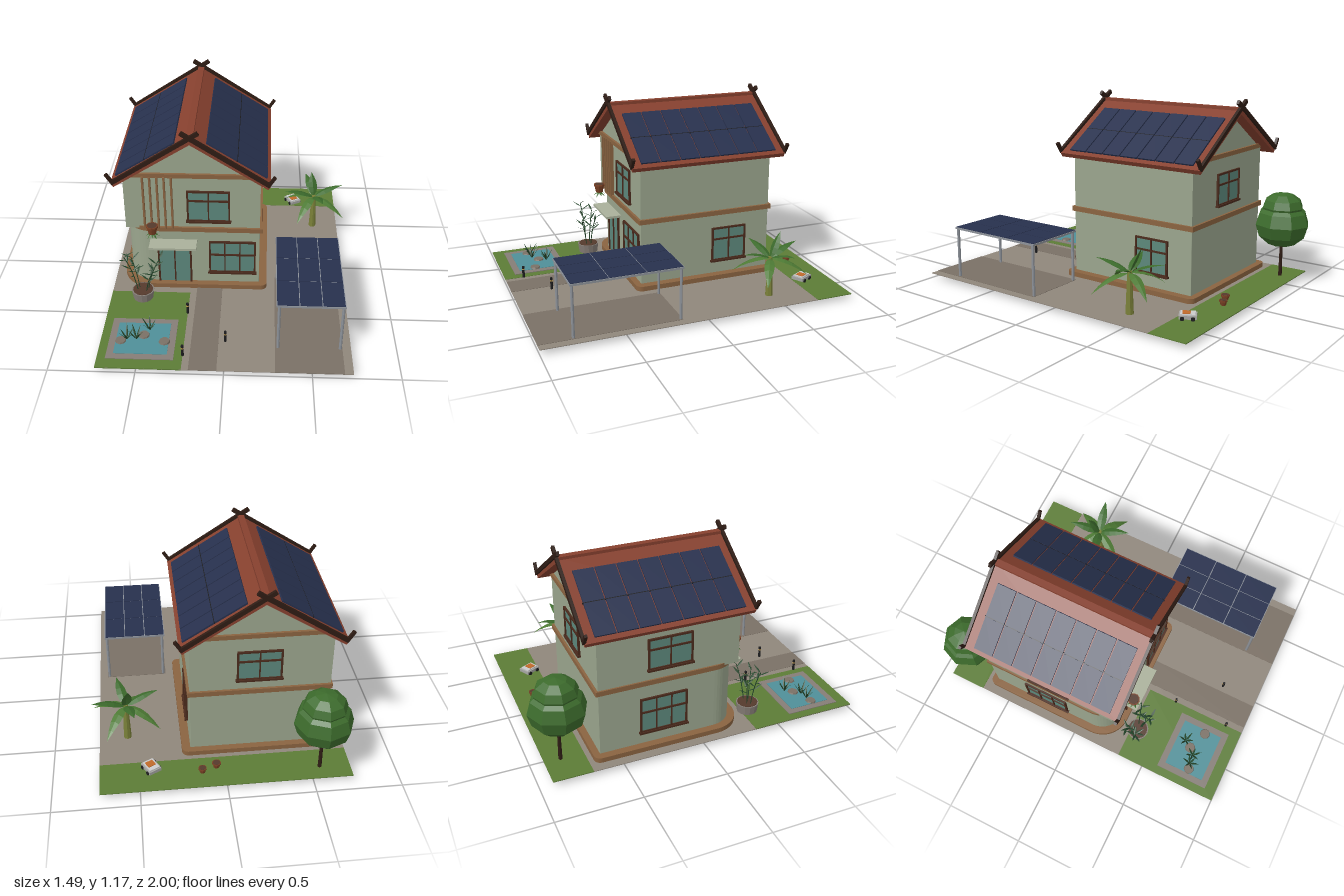
import * as THREE from 'three';

const C = {
  wall: 0x9aa58d, trim: 0x8a6340, dark: 0x2e1c14, frame: 0x4a2a1c, glass: 0x5c877b, roof: 0x86402e,
  panel: 0x27304d, metal: 0x8d9299, grass: 0x5c7c36, pave: 0x8f867b, drive: 0x7a7065, water: 0x4f8f98,
  stone: 0x857d76, soil: 0x553a2c, clay: 0x7a4024, leaf: 0x3c6b2c, leafDark: 0x24452a, stem: 0x7a8038, black: 0x1c1c1e,
};
const mats = {};
function mat(color) {
  return (mats[color] ??= new THREE.MeshStandardMaterial({ color, flatShading: true, side: THREE.DoubleSide }));
}
function add(parent, name, geo, color, x = 0, y = 0, z = 0) {
  const m = new THREE.Mesh(geo, mat(color));
  m.name = name;
  m.position.set(x, y, z);
  parent.add(m);
  return m;
}
function group(parent, name, x = 0, y = 0, z = 0) {
  const g = new THREE.Group();
  g.name = name;
  g.position.set(x, y, z);
  parent.add(g);
  return g;
}
// Box given by its limits on each axis
function box(parent, name, color, x0, x1, y0, y1, z0, z1) {
  return add(parent, name, new THREE.BoxGeometry(x1 - x0, y1 - y0, z1 - z0), color, (x0 + x1) / 2, (y0 + y1) / 2, (z0 + z1) / 2);
}
const cyl = (rt, rb, h, n = 10) => new THREE.CylinderGeometry(rt, rb, h, n);

// Square beam between two points of the xy plane
function beam(parent, name, color, ax, ay, bx, by, z, t, d) {
  const m = add(parent, name, new THREE.BoxGeometry(Math.hypot(bx - ax, by - ay), t, d), color, (ax + bx) / 2, (ay + by) / 2, z);
  m.rotation.z = Math.atan2(by - ay, bx - ax);
}

// Floor slab whose front corner at -x is strongly rounded
function slab(parent, name, color, x0, x1, y0, y1, z0, z1, r, q) {
  const s = new THREE.Shape();
  s.moveTo(x0 + r, -z1);
  s.lineTo(x1 - q, -z1);
  s.absarc(x1 - q, -z1 + q, q, -Math.PI / 2, 0);
  s.lineTo(x1, -z0 - q);
  s.absarc(x1 - q, -z0 - q, q, 0, Math.PI / 2);
  s.lineTo(x0 + q, -z0);
  s.absarc(x0 + q, -z0 - q, q, Math.PI / 2, Math.PI);
  s.lineTo(x0, -z1 + r);
  s.absarc(x0 + r, -z1 + r, r, Math.PI, Math.PI * 1.5);
  const g = new THREE.ExtrudeGeometry(s, { depth: y1 - y0, bevelEnabled: false, curveSegments: 6 });
  add(parent, name, g.rotateX(-Math.PI / 2), color, 0, y0, 0);
}

// Folded, drooping leaf running along +z
function leaf(parent, color, len, width, droop, azimuth, lift, x = 0, y = 0, z = 0) {
  const n = 5, pos = [], idx = [];
  for (let i = 0; i <= n; i++) {
    const t = i / n, w = width * Math.sin(Math.PI * t ** 0.8), py = -droop * t * t;
    pos.push(-w, py - w * 0.3, len * t, 0, py, len * t, w, py - w * 0.3, len * t);
    if (i < n) for (const k of [0, 1]) {
      const a = i * 3 + k;
      idx.push(a, a + 3, a + 1, a + 1, a + 3, a + 4);
    }
  }
  const g = new THREE.BufferGeometry();
  g.setAttribute('position', new THREE.Float32BufferAttribute(pos, 3));
  g.setIndex(idx);
  g.computeVertexNormals();
  add(parent, 'leaf', g, color, x, y, z).rotation.set(-lift, azimuth, 0, 'YXZ');
}

// Glazed opening with frame, mullions and an optional rail and sill
function glazing(parent, name, x, y, z, turn, w, h, cols, rail) {
  const g = group(parent, name, x, y, z), t = 0.011;
  g.rotation.y = turn;
  box(g, 'glass', C.glass, -w / 2, w / 2, 0, h, -0.01, 0.005);
  for (let i = 0; i <= cols; i++) {
    const px = -w / 2 + (w * i) / cols, k = i % cols ? t * 0.35 : t * 0.5;
    box(g, 'mullion', C.frame, px - k, px + k, 0, h, -0.01, 0.013);
  }
  for (const py of rail ? [0, h * rail, h] : [h])
    box(g, 'rail', C.frame, -w / 2 - t / 2, w / 2 + t / 2, py - t / 2, py + t / 2, -0.01, 0.012);
  if (rail) box(g, 'sill', C.frame, -w / 2 - 0.012, w / 2 + 0.012, -0.012, 0, -0.01, 0.02);
}

function buildGround(m) {
  const g = group(m, 'ground');
  box(g, 'paving', C.pave, -0.73, 0.73, 0.028, 0.032, -0.69, 1);
  box(g, 'backLawn', C.grass, -0.73, 0.73, 0.028, 0.033, -0.925, -0.69);
  box(g, 'frontLawn', C.grass, -0.73, -0.24, 0.027, 0.034, 0.33, 1);
  box(g, 'path', C.drive, -0.2, -0.04, 0.029, 0.034, 0.28, 1);
  box(g, 'driveway', C.drive, 0.29, 0.68, 0.029, 0.034, 0.16, 1);
  // Pond with stones and reeds
  const p = group(m, 'pond');
  box(p, 'pondRim', C.stone, -0.68, -0.29, 0.03, 0.038, 0.59, 0.93);
  box(p, 'water', C.water, -0.64, -0.33, 0.026, 0.04, 0.63, 0.89);
  for (const [x, z, r] of [[-0.61, 0.785, 0.035], [-0.355, 0.785, 0.035], [-0.48, 0.735, 0.036]])
    add(p, 'pondStone', cyl(r * 0.85, r, 0.012, 9), C.drive, x, 0.042, z);
  for (const [x, z] of [[-0.575, 0.775], [-0.52, 0.77], [-0.45, 0.69]])
    for (let i = 0; i < 6; i++) leaf(p, C.leafDark, 0.075 + 0.012 * (i % 3), 0.006, 0.01, i * 1.05 + x * 9, 1.1, x, 0.04, z);
  for (const [x, z] of [[-0.24, 0.52], [-0.24, 0.885], [0, 0.76]]) {
    add(m, 'bollardLight', cyl(0.008, 0.008, 0.075, 8), C.black, x, 0.07, z);
    add(m, 'bollardLamp', cyl(0.0085, 0.0085, 0.008, 8), 0xc8a050, x, 0.088, z);
  }
}

function buildHouse(m) {
  const h = group(m, 'house');
  slab(h, 'plinth', C.trim, -0.675, 0.24, 0.027, 0.062, -0.66, 0.28, 0.18, 0.04);
  slab(h, 'lowerWalls', C.wall, -0.63, 0.19, 0.06, 0.47, -0.62, 0.24, 0.15, 0.002);
  slab(h, 'floorBand', C.trim, -0.64, 0.205, 0.45, 0.48, -0.635, 0.255, 0.16, 0.004);
  // Upper storey with gables
  const s = new THREE.Shape([[-0.63, 0.465], [0.19, 0.465], [0.19, 0.825], [-0.22, 1.09], [-0.63, 0.825]].map(p => new THREE.Vector2(...p)));
  add(h, 'upperWalls', new THREE.ExtrudeGeometry(s, { depth: 0.86, bevelEnabled: false }), C.wall, 0, 0, -0.62);
  for (const z of [0.247, -0.627]) box(h, 'gableBand', C.trim, -0.625, 0.185, 0.833, 0.86, z - 0.009, z + 0.009);
  for (let i = 0; i < 5; i++) box(h, 'slat', C.trim, -0.516 + i * 0.0425, -0.505 + i * 0.0425, 0.475, 0.84, 0.235, 0.264);

  glazing(h, 'upperFrontWindow', -0.122, 0.53, 0.24, 0, 0.25, 0.205, 2, 0.69);
  glazing(h, 'lowerFrontWindow', 0.022, 0.145, 0.24, 0, 0.28, 0.225, 3, 0.58);
  glazing(h, 'frontDoor', -0.338, 0.06, 0.24, 0, 0.2, 0.302, 2, 0);
  box(h, 'doorCanopy', 0xa9b09a, -0.485, -0.195, 0.368, 0.383, 0.23, 0.34);
  glazing(h, 'rightWindow', 0.19, 0.15, -0.345, Math.PI / 2, 0.22, 0.21, 2, 0.66);
  glazing(h, 'leftUpperWindow', -0.63, 0.55, -0.19, -Math.PI / 2, 0.26, 0.185, 2, 0.66);
  glazing(h, 'leftLowerWindow', -0.63, 0.145, -0.23, -Math.PI / 2, 0.28, 0.215, 3, 0.6);
  glazing(h, 'backWindow', -0.21, 0.55, -0.62, Math.PI, 0.25, 0.185, 2, 0.66);

  // Roof slopes carrying solar panels
  const roof = group(m, 'roof'), a = Math.atan2(0.3, 0.47), L = 0.557;
  for (const side of [-1, 1]) {
    const g = group(roof, 'roofSlope', -0.22, 1.12, -0.195);
    if (side < 0) g.rotation.set(0, Math.PI, a, 'ZYX');
    else g.rotation.z = -a;
    box(g, 'roofSheet', C.roof, 0, L, -0.03, 0, -0.5, 0.5);
    for (let i = 0; i < 7; i++) for (let j = 0; j < 2; j++) {
      const z = -0.445 + i * 0.1275, x = 0.108 + j * 0.212;
      box(g, 'solarPanel', C.panel, x, x + 0.207, 0, 0.01, z, z + 0.12);
    }
    box(g, 'panelRail', C.black, 0.315, 0.32, 0, 0.009, -0.445, 0.445);
    // Crossed gable boards with upturned ends
    for (const z of [0.308, -0.698]) {
      beam(roof, 'gableBoard', C.dark, -0.22 - side * 0.05, 1.152 + 0.01, -0.22 + side * 0.465, 0.825, z, 0.025, 0.018);
      beam(roof, 'gableHorn', C.dark, -0.22 + side * 0.452, 0.822, -0.22 + side * 0.492, 0.884, z, 0.018, 0.018);
    }
  }
  box(roof, 'ridgeCap', C.roof, -0.24, -0.2, 1.105, 1.125, -0.695, 0.305);
}

function buildCarport(m) {
  const c = group(m, 'carport');
  for (const x of [0.307, 0.667]) for (const z of [0.17, 0.8]) add(c, 'post', cyl(0.009, 0.009, 0.32, 8), C.metal, x, 0.19, z);
  box(c, 'canopyFrame', C.metal, 0.29, 0.68, 0.343, 0.355, 0.155, 0.812);
  for (let i = 0; i < 3; i++) for (let j = 0; j < 3; j++) {
    const x = 0.294 + i * 0.1285, z = 0.159 + j * 0.218;
    box(c, 'solarPanel', C.panel, x, x + 0.124, 0.35, 0.358, z, z + 0.213);
  }
}

function buildPlants(m) {
  // Round tree
  const t = group(m, 'roundTree', -0.55, 0, -0.83);
  add(t, 'trunk', cyl(0.009, 0.012, 0.24, 7), C.dark, 0, 0.15, 0);
  add(t, 'crown', new THREE.SphereGeometry(0.172, 8, 6), C.leaf, 0, 0.375, 0).scale.y = 0.87;
  add(t, 'crownTop', new THREE.SphereGeometry(0.13, 8, 6), C.leaf, 0, 0.483, 0).scale.y = 0.7;
  // Broad-leaved tree
  const b = group(m, 'bananaTree', 0.56, 0, -0.45);
  add(b, 'trunk', cyl(0.014, 0.024, 0.25, 8), C.stem, 0, 0.155, 0);
  for (let i = 0; i < 8; i++)
    leaf(b, i % 2 ? 0x4d7a34 : C.leaf, 0.2, 0.031, i % 2 ? 0.15 : 0.08, i * 0.785 + 0.25, i % 2 ? 0.25 : 0.7, 0, 0.27, 0);
  leaf(b, C.leaf, 0.17, 0.032, 0.03, 3.4, 1.3, 0, 0.27, 0);
  // Potted bamboo
  const p = group(m, 'pottedBamboo', -0.53, 0, 0.375);
  add(p, 'pot', cyl(0.07, 0.062, 0.06, 14), C.stone, 0, 0.062, 0);
  add(p, 'soil', cyl(0.062, 0.062, 0.006, 14), C.soil, 0, 0.092, 0);
  for (const [i, [dx, dz, top]] of [[-0.1, 0.02, 0.35], [0.11, -0.03, 0.31], [0.08, 0.06, 0.28], [-0.07, -0.05, 0.3]].entries()) {
    const curve = new THREE.QuadraticBezierCurve3(new THREE.Vector3(dx * 0.3, 0.09, dz * 0.3),
      new THREE.Vector3(dx * 0.5, top * 0.7, dz * 0.5), new THREE.Vector3(dx, top, dz));
    add(p, 'cane', new THREE.TubeGeometry(curve, 6, 0.003, 5), C.leafDark);
    for (let k = 0; k < 7; k++) {
      const q = curve.getPoint(0.4 + k * 0.1);
      leaf(p, C.leafDark, 0.065, 0.007, 0.01, k * 2.4 + i, 0.65, q.x, q.y, q.z);
    }
  }
  // Hanging planter and two small garden pots with trailing leaves
  const planters = [['hangingPlanter', -0.46, 0.472, 0.305, 0.034, 0.05], ['gardenPot', 0.05, 0.03, -0.77, 0.024, 0.03], ['gardenPot', 0.135, 0.03, -0.805, 0.022, 0.03]];
  for (const [name, x, y, z, r, h] of planters) {
    const g = group(m, name, x, y, z);
    add(g, 'pot', cyl(r, r * 0.7, h, 10), C.clay, 0, h / 2, 0);
    add(g, 'rim', cyl(r * 1.1, r * 1.1, 0.01, 10), C.clay, 0, h, 0);
    add(g, 'soil', cyl(r * 0.9, r * 0.9, 0.004, 10), C.soil, 0, h + 0.004, 0);
    for (let i = 0; i < 8; i++) leaf(g, C.leaf, r * 1.2, 0.007, i % 2 ? 0.03 : 0.02, i * 0.785, 0, 0, 0, 0);
  }
}

function buildMower(m) {
  const g = group(m, 'gardenRobot', 0.43, 0, -0.75);
  g.rotation.y = 0.5;
  box(g, 'body', 0xa5a5a2, -0.04, 0.04, 0.04, 0.06, -0.05, 0.05);
  box(g, 'lid', 0xc4c4c0, -0.032, 0.032, 0.06, 0.067, -0.042, 0.042);
  box(g, 'cover', 0xc06a2a, -0.024, 0.024, 0.066, 0.07, -0.015, 0.03);
  for (const x of [-0.04, 0.04]) for (const z of [-0.03, 0.03])
    add(g, 'wheel', cyl(0.012, 0.012, 0.012, 10).rotateZ(Math.PI / 2), C.black, x, 0.044, z);
}

export function createModel() {
  const model = new THREE.Group();
  model.name = 'houseWithGarden';
  for (const build of [buildGround, buildHouse, buildCarport, buildPlants, buildMower]) build(model);
  return model;
}
